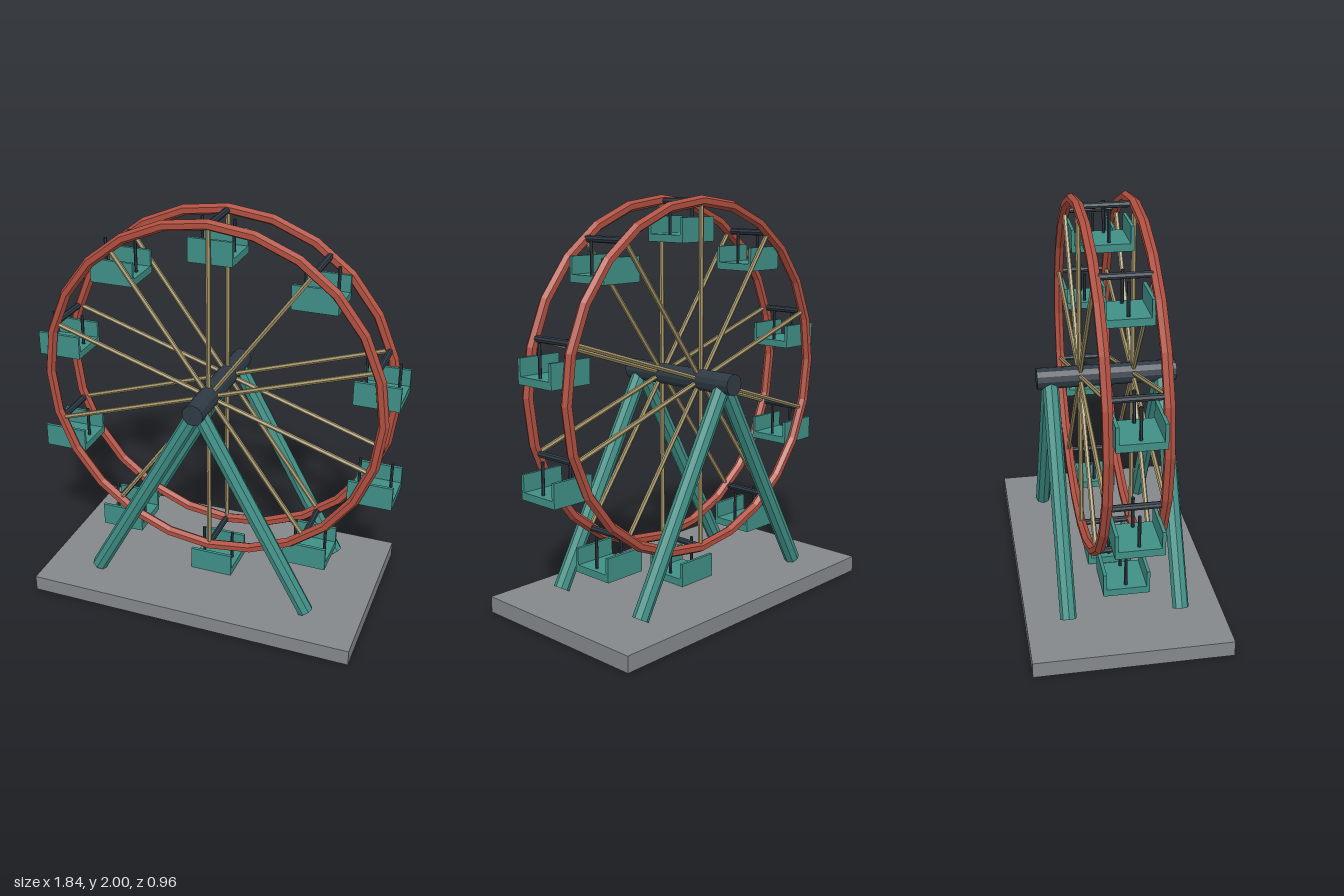
import * as THREE from 'three';

const paint = (color) => new THREE.MeshStandardMaterial({ color, flatShading: true });

export function createModel() {
  const model = new THREE.Group();
  model.name = 'ferrisWheel';

  const grey = paint(0x84888b);
  const green = paint(0x3f8f86);
  const red = paint(0xb04f40);
  const dark = paint(0x2f3a45);
  const tan = paint(0xa39367);

  const add = (parent, name, geometry, material, x = 0, y = 0, z = 0) => {
    const mesh = new THREE.Mesh(geometry, material);
    mesh.name = name;
    mesh.position.set(x, y, z);
    parent.add(mesh);
    return mesh;
  };

  // Straight round bar between two points
  const up = new THREE.Vector3(0, 1, 0);
  const bar = (parent, name, from, to, radius, sides, material) => {
    const a = new THREE.Vector3(...from);
    const dir = new THREE.Vector3(...to).sub(a);
    const mesh = add(parent, name, new THREE.CylinderGeometry(radius, radius, dir.length(), sides), material);
    mesh.position.copy(a).addScaledVector(dir, 0.5);
    mesh.quaternion.setFromUnitVectors(up, dir.normalize());
    return mesh;
  };

  const hubY = 1.12, rimR = 0.854, rimZ = 0.131, pivotR = 0.85;

  // Base slab
  add(model, 'base', new THREE.BoxGeometry(1.68, 0.08, 0.96), grey, 0, 0.04, 0);

  // A-frame supports
  for (const z of [-0.277, 0.277]) {
    for (const side of [-1, 1]) {
      bar(model, 'supportLeg', [side * 0.565, 0.098, z], [0, hubY, z], 0.04, 8, green);
    }
  }

  // Axle through the hub
  bar(model, 'axle', [0, hubY, -0.344], [0, hubY, 0.344], 0.053, 12, dark);

  // Wheel: two rims joined by spokes and crossbars
  const wheel = new THREE.Group();
  wheel.name = 'wheel';
  wheel.position.y = hubY;
  model.add(wheel);
  for (const z of [-rimZ, rimZ]) {
    add(wheel, 'rim', new THREE.TorusGeometry(rimR, 0.026, 6, 24), red, 0, 0, z);
  }

  for (let i = 0; i < 10; i++) {
    const angle = Math.PI / 2 + (i * Math.PI) / 5;
    const x = Math.cos(angle) * pivotR;
    const y = Math.sin(angle) * pivotR;
    for (const z of [-rimZ, rimZ]) {
      bar(wheel, 'spoke', [0, 0, z], [x, y, z], 0.012, 6, tan);
    }
    bar(wheel, 'crossbar', [x, y, -0.128], [x, y, 0.128], 0.016, 8, dark);

    // Gondola hanging upright below its crossbar, open at both ends
    const gondola = new THREE.Group();
    gondola.name = 'gondola';
    gondola.position.set(x, y, 0);
    wheel.add(gondola);
    add(gondola, 'gondolaFloor', new THREE.BoxGeometry(0.22, 0.036, 0.224), green, 0, -0.172, 0);
    for (const side of [-1, 1]) {
      add(gondola, 'gondolaWall', new THREE.BoxGeometry(0.22, 0.118, 0.016), green, 0, -0.131, side * 0.104);
      bar(gondola, 'hangerRod', [side * 0.078, -0.17, 0], [side * 0.078, 0, 0], 0.008, 6, dark);
    }
  }

  return model;
}
